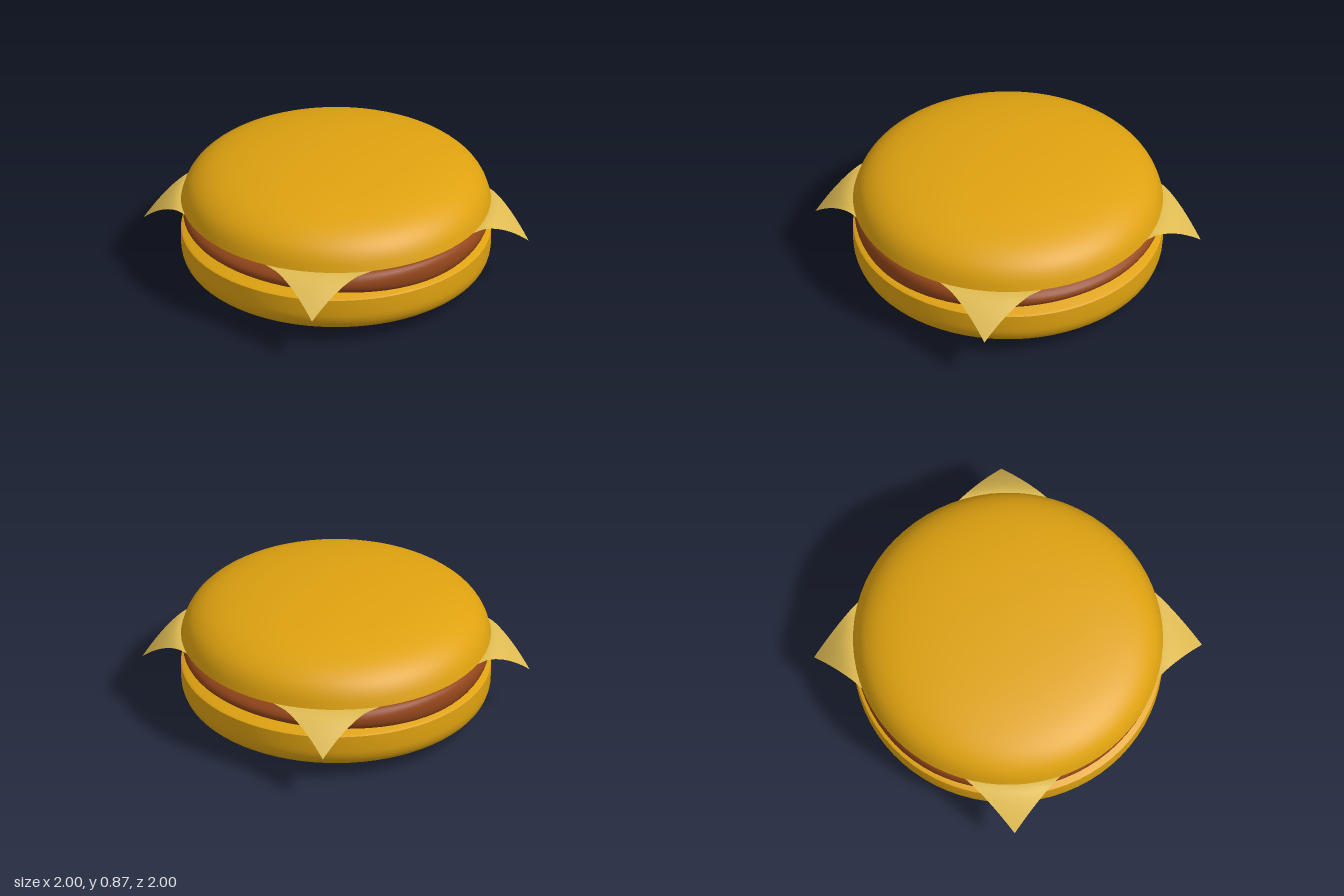
import * as THREE from 'three';
import { toCreasedNormals, mergeVertices } from 'three/addons/utils/BufferGeometryUtils.js';

const SEGMENTS = 72;
const bunMaterial = new THREE.MeshStandardMaterial({ color: 0xdfa210 });
const pattyMaterial = new THREE.MeshStandardMaterial({ color: 0x93461a });
const cheeseMaterial = new THREE.MeshStandardMaterial({ color: 0xdfbb52, side: THREE.DoubleSide });

const vectors = (pairs) => pairs.map(([r, y]) => new THREE.Vector2(r, y));

function named(name, geometry, material) {
  const mesh = new THREE.Mesh(geometry, material);
  mesh.name = name;
  return mesh;
}

// Smooth crust curve closed by a flat cut face; profile runs from bottom to top
function bun(name, curve, cutBelow, cutAbove) {
  const crust = new THREE.SplineCurve(vectors(curve)).getPoints(32);
  const profile = [...vectors(cutBelow), ...crust, ...vectors(cutAbove)];
  return named(name, toCreasedNormals(new THREE.LatheGeometry(profile, SEGMENTS), 0.6), bunMaterial);
}

// Disc with a round edge along x that becomes blunter along z
function patty() {
  const middle = 0.435, half = 0.08, steps = 18;
  const profile = [new THREE.Vector2(0, middle - half)];
  for (let i = 0; i <= steps; i++) {
    const a = (i / steps - 0.5) * Math.PI;
    profile.push(new THREE.Vector2(0.78 + 0.2 * Math.cos(a), middle + half * Math.sin(a)));
  }
  profile.push(new THREE.Vector2(0, middle + half));

  let geometry = new THREE.LatheGeometry(profile, SEGMENTS);
  const p = geometry.attributes.position;
  for (let i = 0; i < p.count; i++) {
    const s = Math.min(1, Math.abs(p.getY(i) - middle) / half);
    const c = Math.sqrt(1 - s * s);
    const blunt = 0.91 + 0.085 * Math.pow(c, 0.4);
    p.setZ(i, p.getZ(i) * blunt / (0.78 + 0.2 * c));
  }
  geometry.deleteAttribute('uv');
  geometry.deleteAttribute('normal');
  geometry = mergeVertices(geometry, 1e-5);
  geometry.computeVertexNormals();
  return named('patty', geometry, pattyMaterial);
}

// Square slice whose corners sag beyond the edge of the patty
function cheese() {
  const geometry = new THREE.PlaneGeometry(1.77, 1.77, 48, 48).rotateX(-Math.PI / 2);
  const p = geometry.attributes.position;
  for (let i = 0; i < p.count; i++) {
    const t = Math.max(0, (Math.hypot(p.getX(i), p.getZ(i)) - 1.02) / 0.23);
    p.setY(i, 0.525 - 0.205 * Math.pow(t, 1.4));
  }
  geometry.computeVertexNormals();
  return named('cheeseSlice', geometry, cheeseMaterial);
}

export function createModel() {
  const group = new THREE.Group();
  group.name = 'burger';
  group.add(
    bun('bottomBun',
      [[0, 0], [0.3, 0.008], [0.55, 0.023], [0.75, 0.047], [0.88, 0.082], [0.96, 0.13], [0.993, 0.19], [1, 0.26], [1, 0.338]],
      [], [[0.985, 0.348], [0, 0.35]]),
    patty(),
    cheese(),
    bun('topBun',
      [[1, 0.543], [0.975, 0.622], [0.93, 0.69], [0.85, 0.75], [0.73, 0.796], [0.55, 0.834], [0.35, 0.857], [0.15, 0.868], [0, 0.871]],
      [[0, 0.535], [0.985, 0.535]], []),
  );
  return group;
}
